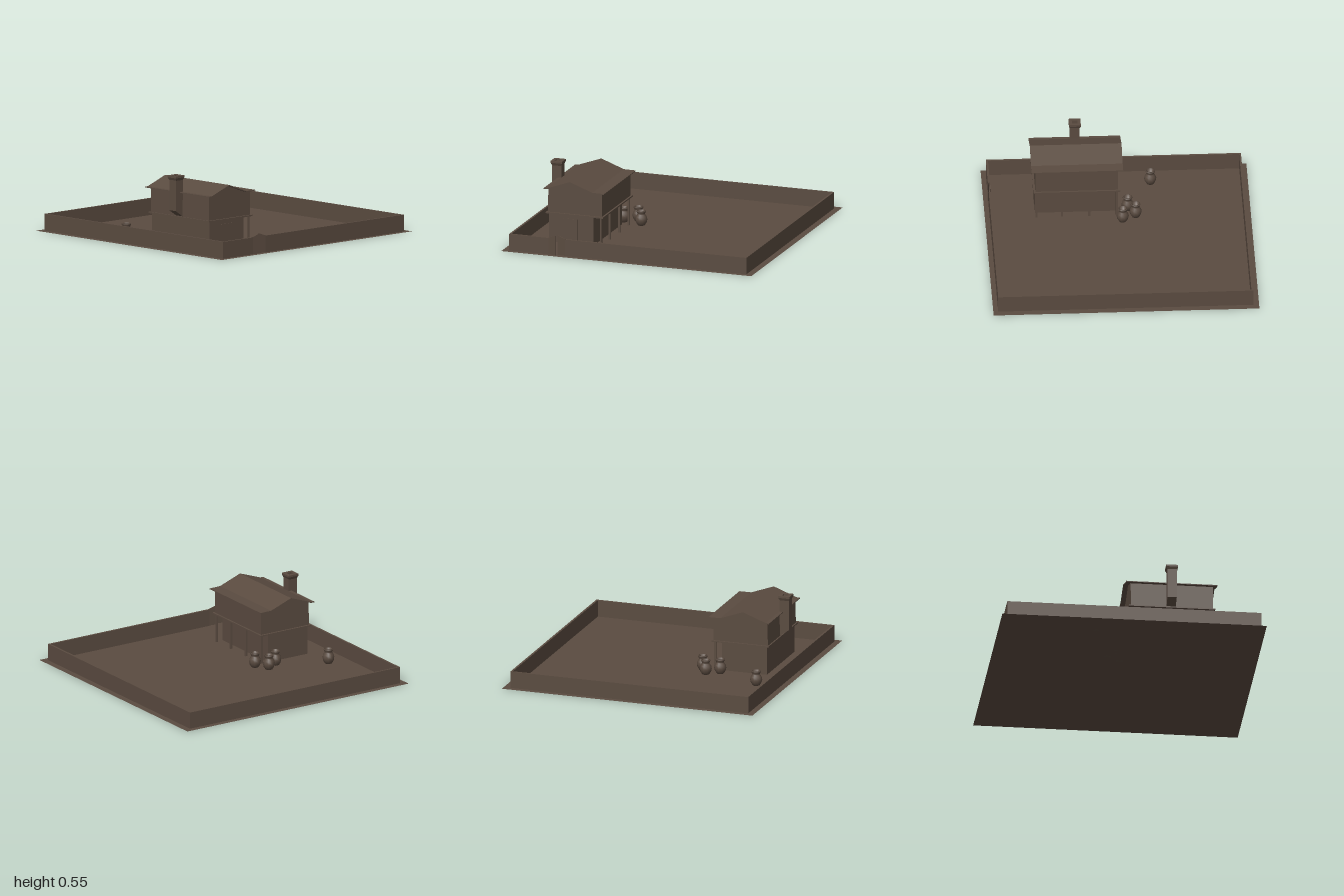
import * as THREE from 'three';

export function createModel() {
  const model = new THREE.Group();
  const brown = new THREE.MeshStandardMaterial({ color: 0x5a4b40, side: THREE.DoubleSide });
  brown.name = 'earth brown';

  function add(name, geometry, parent = model) {
    const mesh = new THREE.Mesh(geometry, brown);
    mesh.name = name;
    parent.add(mesh);
    return mesh;
  }
  // Box given by its minimum and maximum corners
  function box(name, x0, x1, y0, y1, z0, z1, parent) {
    const mesh = add(name, new THREE.BoxGeometry(x1 - x0, y1 - y0, z1 - z0), parent);
    mesh.position.set((x0 + x1) / 2, (y0 + y1) / 2, (z0 + z1) / 2);
    return mesh;
  }
  // Profile in x and y, drawn out along z
  function extrude(name, points, z0, z1, parent) {
    const shape = new THREE.Shape(points.map(([x, y]) => new THREE.Vector2(x, y)));
    const geometry = new THREE.ExtrudeGeometry(shape, { depth: z1 - z0, bevelEnabled: false });
    return add(name, geometry.translate(0, 0, z0), parent);
  }

  // Ground sheet
  add('ground', new THREE.PlaneGeometry(2, 2).rotateX(-Math.PI / 2));

  // Yard wall with a gateway at the front
  const wall = new THREE.Group();
  wall.name = 'yardWall';
  model.add(wall);
  const top = 0.128;
  box('wallLeft', 0.932, 0.948, 0, top, -0.957, 0.963, wall);
  box('wallRight', -0.952, -0.936, 0, top, -0.957, 0.963, wall);
  box('wallBack', -0.936, 0.932, 0, top, -0.957, -0.943, wall);
  box('wallFrontLong', -0.505, 0.932, 0, top, 0.947, 0.963, wall);
  box('wallFrontShort', -0.936, -0.637, 0, top, 0.947, 0.963, wall);

  // Two gate leaves rising to the middle, slightly ajar
  for (const side of [-1, 1]) {
    const leaf = extrude('gateLeaf',
      [[0, 0], [-side * 0.062, 0], [-side * 0.062, 0.152], [0, 0.13]], -0.003, 0.003);
    leaf.position.set(-0.571 + side * 0.066, 0, 0.957);
    leaf.rotation.y = -0.15;
  }

  // House
  const house = new THREE.Group();
  house.name = 'house';
  model.add(house);
  box('groundFloor', -0.757, -0.4, 0, 0.222, 0, 0.62, house);
  box('door', -0.64, -0.527, 0, 0.19, 0.618, 0.624, house);
  box('floorLedge', -0.778, -0.32, 0.22, 0.23, -0.018, 0.635, house);
  extrude('upperFloor', [[-0.767, 0.228], [-0.334, 0.228], [-0.334, 0.413],
    [-0.4, 0.413], [-0.58, 0.479], [-0.762, 0.413]], -0.003, 0.62, house);
  extrude('roof', [[-0.79, 0.413], [-0.762, 0.413], [-0.58, 0.479], [-0.4, 0.413], [-0.305, 0.413],
    [-0.305, 0.419], [-0.4, 0.42], [-0.58, 0.486], [-0.762, 0.42], [-0.79, 0.419]], -0.04, 0.65, house);

  // Posts of the side gallery
  for (const z of [0.007, 0.215, 0.42, 0.612]) {
    box('galleryPost', -0.351, -0.336, 0, 0.222, z - 0.008, z + 0.008, house);
  }

  // Chimney with sloping foot and flared hollow cap
  const chimney = new THREE.Group();
  chimney.name = 'chimney';
  house.add(chimney);
  extrude('chimneyShaft', [[-0.837, 0.28], [-0.762, 0.23], [-0.762, 0.515], [-0.837, 0.515]],
    0.267, 0.337, chimney);
  const capProfile = [[0.036, 0.51], [0.045, 0.53], [0.045, 0.545], [0.021, 0.545], [0.021, 0.517]]
    .map(([r, y]) => new THREE.Vector2(r * Math.SQRT2, y));
  const cap = new THREE.LatheGeometry(capProfile, 4, Math.PI / 4).toNonIndexed();
  cap.computeVertexNormals();
  add('chimneyCap', cap, chimney).position.set(-0.8, 0, 0.302);

  // Storage jars
  const jarProfile = [[0, 0], [0.027, 0], [0.041, 0.022], [0.046, 0.045], [0.041, 0.067],
    [0.03, 0.084], [0.029, 0.092], [0.037, 0.106], [0.036, 0.112], [0.028, 0.114], [0.025, 0.09], [0, 0.085]]
    .map(([r, y]) => new THREE.Vector2(r, y));
  const jarGeometry = new THREE.LatheGeometry(jarProfile, 10);
  for (const [x, z] of [[-0.767, -0.265], [-0.317, -0.133], [-0.413, -0.077], [-0.258, -0.033]]) {
    add('jar', jarGeometry).position.set(x, 0, z);
  }

  return model;
}
